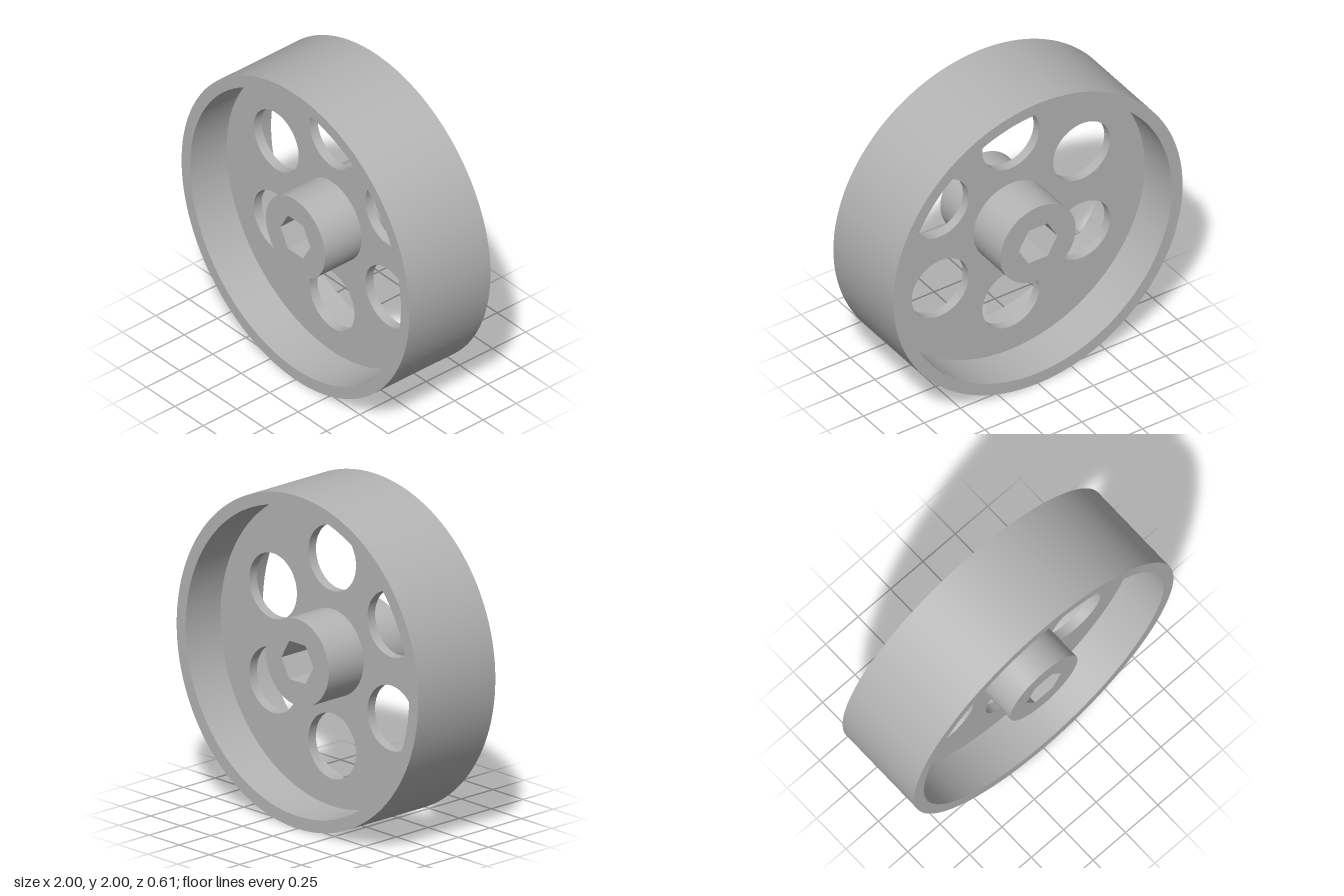
import * as THREE from 'three';
import { toCreasedNormals } from 'three/addons/utils/BufferGeometryUtils.js';

const WIDTH = 0.61;      // rim and hub depth
const WEB = 0.06;        // thickness of the disc between them
const RIM_INNER = 0.925;
const HUB_RADIUS = 0.26;

const grey = new THREE.MeshStandardMaterial({ color: 0xb4b4b4 });
grey.name = 'grey';

function circle(Type, radius, x = 0, y = 0) {
  return new Type().absarc(x, y, radius, 0, Math.PI * 2, false);
}

// Hexagonal bore with corners on the x axis
function hexagon(radius) {
  const points = [];
  for (let i = 0; i < 6; i++) {
    const a = (i * Math.PI) / 3;
    points.push(new THREE.Vector2(radius * Math.cos(a), radius * Math.sin(a)));
  }
  return new THREE.Path(points).closePath();
}

// Extrudes an outline with holes, centred in depth on z = 0
function plate(name, outline, holes, depth, segments) {
  outline.holes.push(...holes);
  const geometry = new THREE.ExtrudeGeometry(outline, {
    depth, bevelEnabled: false, curveSegments: segments,
  });
  geometry.translate(0, 0, -depth / 2);
  const mesh = new THREE.Mesh(toCreasedNormals(geometry, 0.5), grey);
  mesh.name = name;
  return mesh;
}

export function createModel() {
  const wheel = new THREE.Group();
  wheel.name = 'wheel';

  // Outer rim
  wheel.add(plate('rim', circle(THREE.Shape, 1),
    [circle(THREE.Path, RIM_INNER)], WIDTH, 128));

  // Web with six round lightening holes, sunk slightly into rim and hub
  const holes = [circle(THREE.Path, HUB_RADIUS - 0.03)];
  for (let i = 0; i < 6; i++) {
    const a = Math.PI / 2 + (i * Math.PI) / 3;
    holes.push(circle(THREE.Path, 0.197, 0.565 * Math.cos(a), 0.565 * Math.sin(a)));
  }
  wheel.add(plate('web', circle(THREE.Shape, RIM_INNER + 0.02), holes, WEB, 64));

  // Hub with hexagonal bore
  wheel.add(plate('hub', circle(THREE.Shape, HUB_RADIUS),
    [hexagon(0.133)], WIDTH, 64));

  wheel.position.y = 1;
  const model = new THREE.Group();
  model.name = 'spokelessWheel';
  model.add(wheel);
  return model;
}
